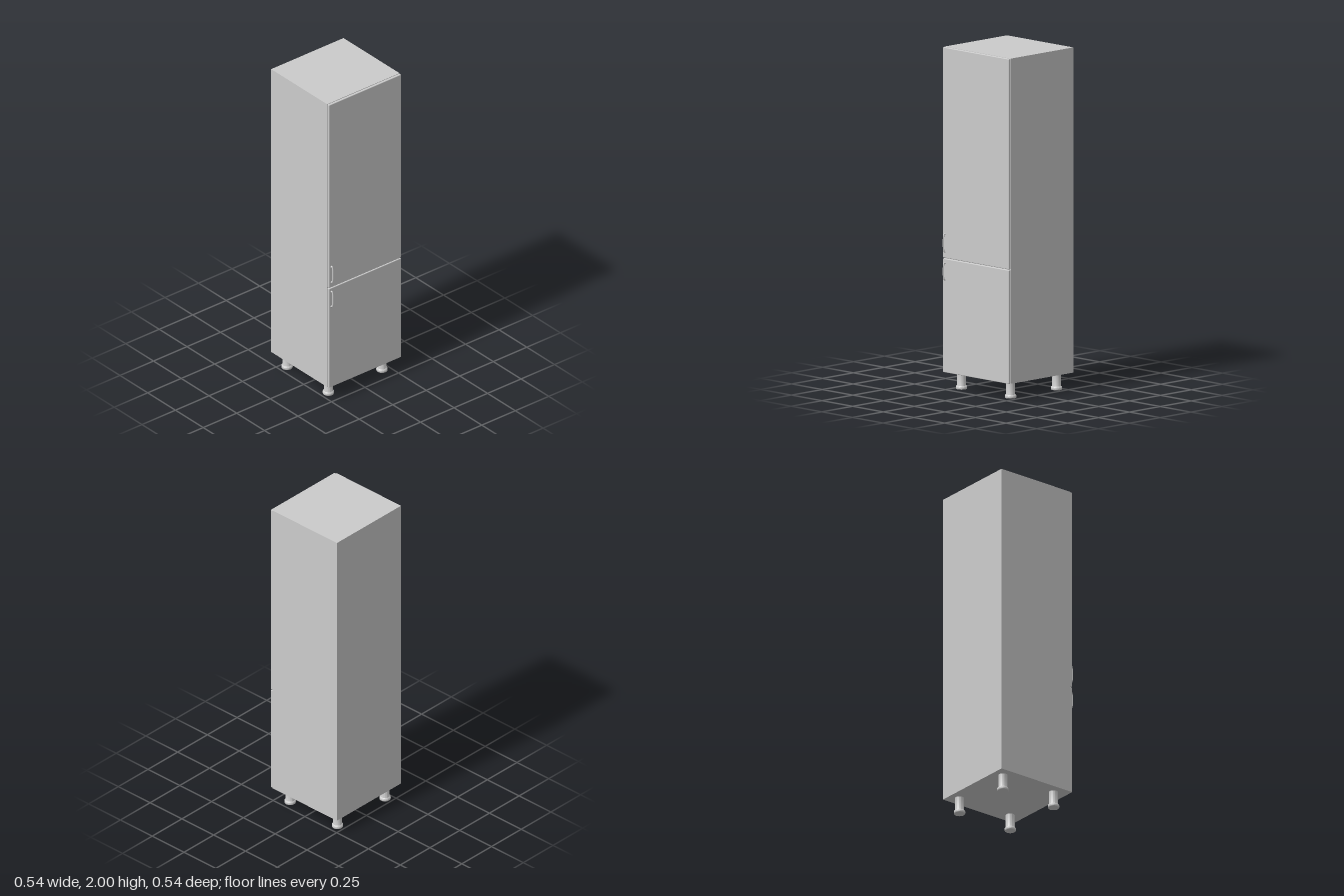
import * as THREE from 'three';
import { RoundedBoxGeometry } from 'three/addons/geometries/RoundedBoxGeometry.js';
import { toCreasedNormals } from 'three/addons/utils/BufferGeometryUtils.js';

const grey = new THREE.MeshStandardMaterial({ color: 0xcccccc });

function addPart(parent, name, geometry, x = 0, y = 0, z = 0) {
  const mesh = new THREE.Mesh(geometry, grey);
  mesh.name = name;
  mesh.position.set(x, y, z);
  parent.add(mesh);
  return mesh;
}

function lathe(points, segments) {
  const profile = points.map(([r, y]) => new THREE.Vector2(r, y));
  return toCreasedNormals(new THREE.LatheGeometry(profile, segments), 0.6);
}

// Bow handle: a curved grip carried on two flared posts
function createHandle(name, height) {
  const handle = new THREE.Group();
  handle.name = name;
  const h = height / 2 - 0.006;
  const path = new THREE.CatmullRomCurve3([
    [-h, 0.004], [-h + 0.002, 0.009], [-h * 0.7, 0.0125], [0, 0.0135],
    [h * 0.7, 0.0125], [h - 0.002, 0.009], [h, 0.004],
  ].map(([y, z]) => new THREE.Vector3(0, y, z)));
  addPart(handle, 'grip', new THREE.TubeGeometry(path, 40, 0.004, 10));
  const post = lathe([[0, 0], [0.006, 0], [0.006, 0.003], [0.004, 0.006], [0.004, 0.01], [0, 0.01]], 14);
  post.rotateX(Math.PI / 2);
  for (const s of [-1, 1]) addPart(handle, 'post', post, 0, s * h, 0);
  return handle;
}

export function createModel() {
  const model = new THREE.Group();
  model.name = 'tallCabinet';

  // Carcass
  addPart(model, 'carcass', new THREE.BoxGeometry(0.54, 1.9, 0.505), 0, 1.05, -0.0175);

  // Doors with softened edges, and a handle at the right edge of each
  const doors = [
    { name: 'lowerDoor', y0: 0.1, y1: 0.765, handleY: 0.692, handleH: 0.11 },
    { name: 'upperDoor', y0: 0.769, y1: 1.999, handleY: 0.857, handleH: 0.115 },
  ];
  for (const d of doors) {
    const slab = new RoundedBoxGeometry(0.538, d.y1 - d.y0, 0.016, 3, 0.004);
    addPart(model, d.name, slab, 0, (d.y0 + d.y1) / 2, 0.243);
    const handle = createHandle(d.name + 'Handle', d.handleH);
    handle.position.set(-0.251, d.handleY, 0.2505);
    model.add(handle);
  }

  // Four round feet with a wide base and a top collar
  const foot = lathe([
    [0, 0], [0.031, 0], [0.033, 0.003], [0.033, 0.014], [0.031, 0.018],
    [0.027, 0.021], [0.026, 0.024], [0.026, 0.1], [0, 0.1],
  ], 28);
  for (const x of [-0.203, 0.197])
    for (const z of [0.165, -0.207]) addPart(model, 'foot', foot, x, 0, z);

  return model;
}
